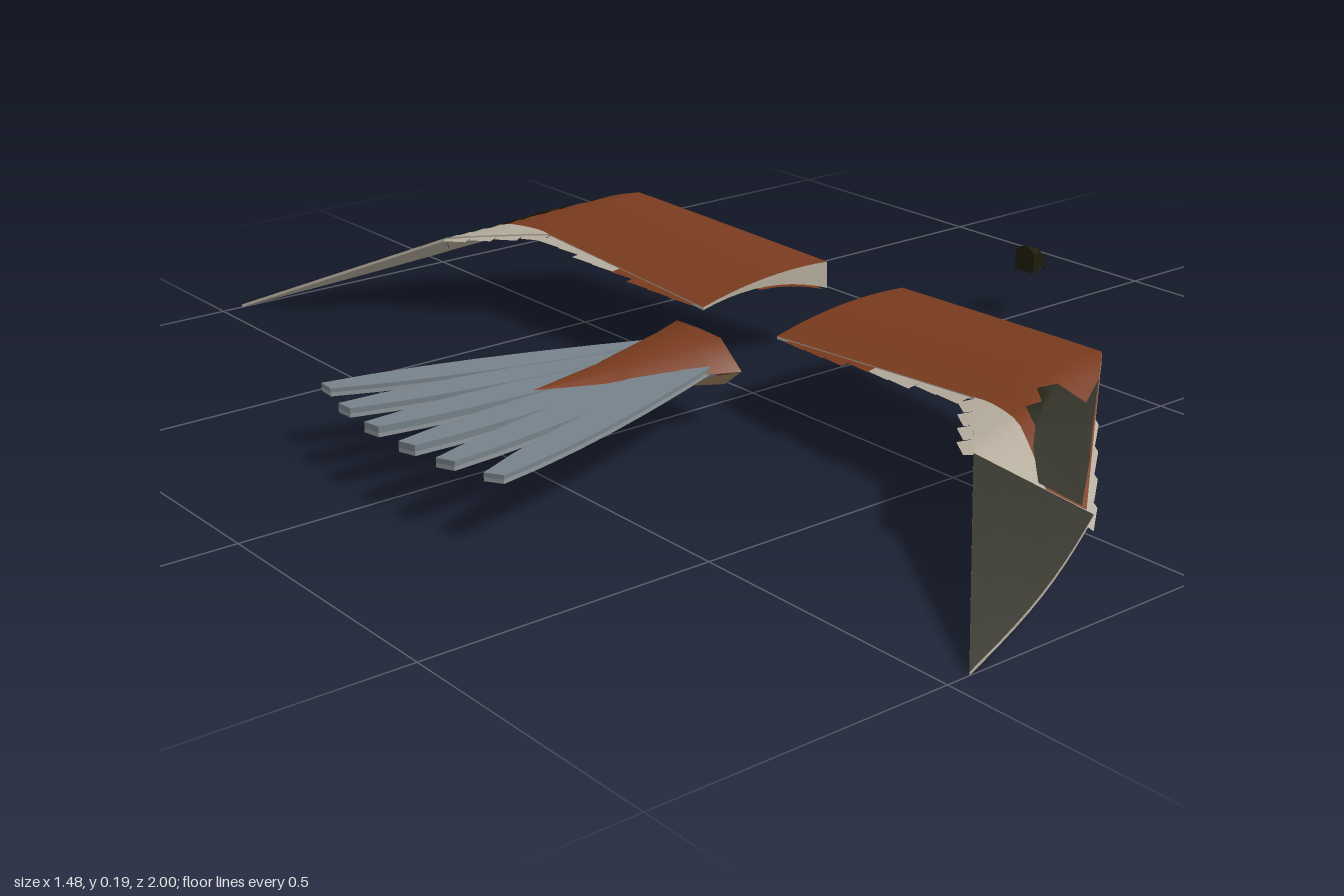
import * as THREE from 'three';

const mat = (name, color) => {
  const m = new THREE.MeshStandardMaterial({ color, side: THREE.DoubleSide });
  m.name = name;
  return m;
};

export function createModel() {
  const rust = mat('rust', 0x793b1e);
  const cream = mat('cream', 0xb3aa9b);
  const dark = mat('dark brown', 0x1e1d0a);
  const slate = mat('slate grey', 0x76828a);
  const paleSlate = mat('pale slate', 0x8f969a);
  const tan = mat('tan', 0xa38b7c);
  const buff = mat('buff', 0xa08462);

  const model = new THREE.Group();
  model.name = 'birdParts';

  const lerp = THREE.MathUtils.lerp;
  const add = (parent, name, geo, material) => {
    geo.computeVertexNormals();
    const mesh = new THREE.Mesh(geo, material);
    mesh.name = name;
    parent.add(mesh);
    return mesh;
  };

  // Grid surface from f(u, v) -> [x, y, z]
  const grid = (f, nu, nv, flip = false) => {
    const pos = [], idx = [];
    for (let i = 0; i <= nu; i++) for (let j = 0; j <= nv; j++) pos.push(...f(i / nu, j / nv));
    for (let i = 0; i < nu; i++) for (let j = 0; j < nv; j++) {
      const a = i * (nv + 1) + j, b = a + 1, c = a + nv + 1, d = c + 1;
      if (flip) idx.push(a, c, b, b, c, d);
      else idx.push(a, b, c, b, d, c);
    }
    const g = new THREE.BufferGeometry();
    g.setAttribute('position', new THREE.Float32BufferAttribute(pos, 3));
    g.setIndex(idx);
    return g;
  };

  // Height of the wing's upper skin, and its thickness (v: 0 leading, 1 trailing)
  const topY = (x, z) => {
    const t = THREE.MathUtils.clamp((x + 0.03) / 0.29, 0, 1);
    const arm = 0.165 + 0.055 * (Math.min(z, 0.6) - 0.1) + 0.09 * (x - 0.26) + 0.048 * t * (1 - t);
    return Math.min(arm, 0.152 - 0.505 * (z - 0.71));
  };
  const thick = (z, v) => {
    const lead = z < 0.6 ? lerp(0.045, 0.017, (z - 0.1) / 0.5) : Math.max(0, 0.017 * (0.86 - z) / 0.26);
    return 0.0055 + lead * (1 - v) ** 2;
  };

  // Wing panels: plan corners [x, z] of the leading and trailing edges
  const armPanel = [[0.26, 0.1], [-0.03, 0.1], [0.215, 0.61], [-0.03, 0.57]];
  const handPanel = [[0.215, 0.61], [-0.03, 0.57], [-0.075, 0.85], [-0.17, 0.71]];
  const tipPanel = [[-0.07, 0.86], [-0.17, 0.71], [-0.46, 1], [-0.46, 1]];
  const plan = ([la, ta, lb, tb], u, v, bulge = 0) => {
    const b = bulge * Math.sin(Math.PI * u) * (1 - v);
    return [
      lerp(lerp(la[0], lb[0], u), lerp(ta[0], tb[0], u), v) + b,
      lerp(lerp(la[1], lb[1], u), lerp(ta[1], tb[1], u), v) + b,
    ];
  };
  const upper = (panel, v0 = () => 0, v1 = () => 1, bulge = 0) => grid((u, t) => {
    const [x, z] = plan(panel, u, lerp(v0(u), v1(u), t), bulge);
    return [x, topY(x, z), z];
  }, 10, 10);
  const lower = (panel, bulge = 0) => grid((u, v) => {
    const [x, z] = plan(panel, u, v, bulge);
    return [x, topY(x, z) - thick(z, v), z];
  }, 10, 10, true);
  const edge = (panel, v, bulge = 0) => grid((u, t) => {
    const [x, z] = plan(panel, u, v, bulge);
    return [x, topY(x, z) - t * thick(z, v), z];
  }, 10, 1, v === 0);
  // Rectangular marking just below the wing's lower skin
  const underMark = (x0, x1, z0, z1) => grid((u, v) => {
    const z = lerp(z0, z1, u), x = lerp(x0, x1, v);
    return [x, topY(x, z) - thick(z, (0.26 - x) / 0.29) - 0.004, z];
  }, 4, 4, true);
  // Flat feather or marking that follows the upper skin
  const patch = (points, lift) => {
    const g = new THREE.ShapeGeometry(new THREE.Shape(points.map((p) => new THREE.Vector2(...p))));
    const p = g.attributes.position;
    for (let i = 0; i < p.count; i++) {
      const x = p.getX(i), z = p.getY(i);
      p.setXYZ(i, x, topY(x, z) + lift, z);
    }
    g.index.array.reverse();
    return g;
  };

  for (const side of [1, -1]) {
    const wing = new THREE.Group();
    wing.name = side > 0 ? 'wingFront' : 'wingBack';
    wing.scale.z = side;
    model.add(wing);

    // Upper skin
    const split = (u) => lerp(1, 0.36, u);
    add(wing, 'innerWingTop', upper(armPanel), rust);
    add(wing, 'outerWingTop', upper(handPanel, undefined, split), rust);
    add(wing, 'outerFlightFeathers', upper(handPanel, split), cream);
    add(wing, 'wingTip', upper(tipPanel, undefined, undefined, 0.008), dark);
    add(wing, 'wingPatch', patch([[-0.115, 0.79], [-0.08, 0.845], [0.0, 0.785], [0.06, 0.735], [0.15, 0.663],
      [0.088, 0.695], [0.07, 0.65], [0.035, 0.64], [0.015, 0.67], [-0.015, 0.665], [-0.035, 0.705], [-0.07, 0.735]], 0.004), dark);

    // Underside, edges and root
    [armPanel, handPanel, tipPanel].forEach((p, i) => {
      const bulge = i === 2 ? 0.008 : 0;
      add(wing, 'wingUnderside', lower(p, bulge), cream);
      add(wing, 'leadingEdge', edge(p, 0, bulge), i === 2 ? cream : tan);
      add(wing, 'trailingEdge', edge(p, 1, bulge), cream);
    });
    add(wing, 'wingRoot', grid((v, t) => {
      const [x, z] = plan(armPanel, 0, v);
      return [x, topY(x, z) - t * thick(z, v), z];
    }, 10, 1), cream);
    add(wing, 'undersidePatch', underMark(0.12, 0.03, 0.15, 0.26), rust);
    add(wing, 'undersideRootPatch', underMark(0.25, 0.1, 0.1, 0.135), rust);

    // Stepped feather ends along the trailing edge
    for (let i = 0; i < 8; i++) {
      const z = 0.13 + i * 0.054, r = 0.004 * (i % 3) + 0.0015 * i;
      add(wing, 'trailingFeather', patch([[-0.02, z], [-0.036 - r, z], [-0.044 - r, z + 0.054], [-0.02, z + 0.054]], -0.003),
        i < 4 ? rust : cream);
    }
    for (let i = 0; i < 4; i++) {
      const x = -0.03 - i * 0.035, z = 0.57 + i * 0.035;
      add(wing, 'outerFeatherEnd', patch([[x, z], [x - 0.024, z - 0.012], [x - 0.048, z + 0.026], [x - 0.035, z + 0.035]], -0.003), cream);
    }
    // Small steps along the outer leading edge
    for (let i = 0; i < 4; i++) {
      const x = 0.09 - i * 0.044, z = 0.713 + i * 0.0365, out = 0.016 + 0.004 * i;
      add(wing, 'leadingFeatherEnd', patch([[x, z - 0.01], [x - 0.01, z + out], [x - 0.05, z + 0.03 + out], [x - 0.06, z + 0.03]], -0.003), cream);
    }
  }

  // Tail base: eight-sided section tapering to a point; [x, width, height]
  const tail = new THREE.Group();
  tail.name = 'tail';
  model.add(tail);
  const stations = [[-0.12, 1, 1], [-0.17, 0.86, 0.75], [-0.3, 0.46, 0.25], [-0.46, 0.01, 0.01]];
  const tailSkin = (outline, endY) => grid((u, v) => {
    const [x, w, h] = stations[Math.round(u * 3)];
    const [y, z] = outline[Math.round(v * (outline.length - 1))];
    return [x, lerp(0.1, endY, (-0.12 - x) / 0.34) + y * h, z * w];
  }, 3, outline.length - 1);
  const topOutline = [[0, -0.115], [0.045, -0.06], [0.047, 0], [0.045, 0.06], [0, 0.115]];
  const lowOutline = [[0, 0.115], [-0.035, 0.07], [-0.045, 0], [-0.035, -0.07], [0, -0.115]];
  add(tail, 'tailBaseTop', tailSkin(topOutline, 0.115), rust);
  add(tail, 'tailBaseUnderside', tailSkin(lowOutline, 0.087), buff);
  const endFace = (points) => new THREE.ShapeGeometry(new THREE.Shape(
    points.map(([y, z]) => new THREE.Vector2(-z, y)))).rotateY(Math.PI / 2).translate(-0.12, 0.1, 0);
  add(tail, 'tailBaseEnd', endFace([...topOutline, [-0.025, 0.08], [-0.025, -0.08]]), rust);
  add(tail, 'tailBaseEndLower', endFace([[-0.025, -0.08], [-0.025, 0.08], ...lowOutline.slice(1, 4)]), slate);

  // Six fanned tail feathers, each with a paler underside
  const tips = [[-0.738, 0.052], [-0.73, 0.148], [-0.707, 0.245]];
  for (const side of [1, -1]) {
    tips.forEach(([tx, tz], i) => {
      const rootX = -0.14, rootZ = 0.015 + i * 0.025;
      const dx = tx - rootX, dz = tz - rootZ, len = Math.hypot(dx, dz);
      const s = new THREE.Shape();
      s.moveTo(0, -0.012);
      s.quadraticCurveTo(len * 0.62, -0.05, len, -0.014);
      s.lineTo(len - 0.008, 0.018);
      s.quadraticCurveTo(len * 0.62, 0.048, 0, 0.012);
      const feather = new THREE.Group();
      feather.name = 'tailFeather';
      feather.position.set(rootX, 0.092 + i * 0.003, side * rootZ);
      feather.rotation.y = Math.atan2(-side * dz, dx);
      tail.add(feather);
      const layer = (name, depth, y, material) => add(feather, name,
        new THREE.ExtrudeGeometry(s, { depth, bevelEnabled: false, curveSegments: 6 })
          .rotateX(-Math.PI / 2).translate(0, y, 0), material);
      layer('featherTop', 0.011 - 0.002 * i, 0.007, slate);
      layer('featherUnderside', 0.007, 0, paleSlate);
    });
  }

  // Hooked beak, tapering in width towards the tip
  const hook = new THREE.Shape();
  hook.moveTo(0.676, 0.087);
  hook.lineTo(0.70, 0.088);
  hook.lineTo(0.718, 0.094);
  hook.lineTo(0.737, 0.077);
  hook.quadraticCurveTo(0.722, 0.125, 0.70, 0.131);
  hook.lineTo(0.676, 0.137);
  const beak = new THREE.ExtrudeGeometry(hook, { depth: 1, steps: 4, bevelEnabled: false, curveSegments: 5 });
  const bp = beak.attributes.position;
  for (let i = 0; i < bp.count; i++) {
    const w = bp.getZ(i) * 2 - 1, x = bp.getX(i), y = bp.getY(i);
    bp.setZ(i, w * 0.024 * Math.max(0.05, (0.739 - x) / 0.063));
    bp.setY(i, y - 0.3 * w * w * Math.max(0, y - 0.1));
  }
  add(model, 'beak', beak, dark);

  return model;
}
